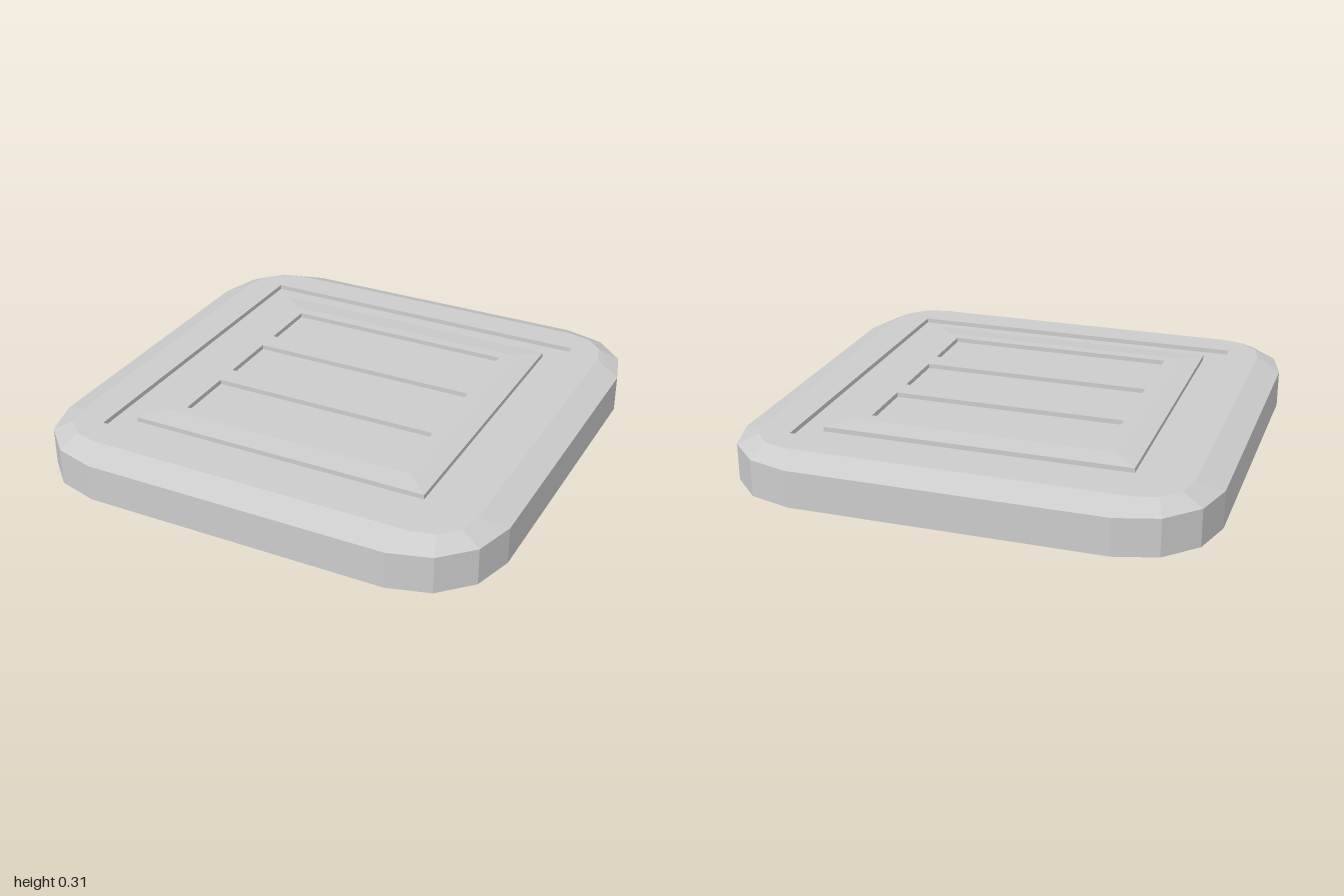
import * as THREE from 'three';

const material = new THREE.MeshStandardMaterial({ color: 0xcccccc, flatShading: true });

// Counter-clockwise rectangle loop in plan
const rect = (hx, hy, cy = 0) => [[hx, cy - hy], [hx, cy + hy], [-hx, cy + hy], [-hx, cy - hy]];

// Square with rounded, three-facet corners; corner points are given for one quadrant
function roundedSquare(corner) {
  const loop = [];
  for (let k = 0; k < 4; k++) {
    for (let [x, y] of corner) {
      for (let r = 0; r < k; r++) [x, y] = [-y, x];
      loop.push([x, y]);
    }
  }
  return loop;
}

// Skin joining matching loops at successive heights: sections = [[loop, height], ...]
function loft(sections) {
  const pos = [];
  const at = ([x, y], h) => [x, h, -y];
  for (let s = 0; s + 1 < sections.length; s++) {
    const [lo, h0] = sections[s], [hi, h1] = sections[s + 1];
    for (let i = 0; i < lo.length; i++) {
      const j = (i + 1) % lo.length;
      const a = at(lo[i], h0), b = at(lo[j], h0), c = at(hi[j], h1), d = at(hi[i], h1);
      pos.push(...a, ...b, ...c, ...a, ...c, ...d);
    }
  }
  const g = new THREE.BufferGeometry();
  g.setAttribute('position', new THREE.Float32BufferAttribute(pos, 3));
  g.computeVertexNormals();
  return g;
}

// Flat horizontal face, optionally with holes, facing up or down
function flat(loop, height, holes = [], up = true) {
  const points = (l) => l.map(([x, y]) => new THREE.Vector2(x, y));
  const shape = new THREE.Shape(points(loop));
  holes.forEach((h) => shape.holes.push(new THREE.Path(points(h))));
  return new THREE.ShapeGeometry(shape).rotateX(up ? -Math.PI / 2 : Math.PI / 2).translate(0, height, 0);
}

export function createModel() {
  const model = new THREE.Group();
  const add = (parent, name, geometry) => {
    const mesh = new THREE.Mesh(geometry, material);
    mesh.name = name;
    parent.add(mesh);
    return mesh;
  };

  const base = 0.1, shoulder = 0.257, deck = 0.3, crown = 0.31, depth = 0.02;
  const outer = roundedSquare([[1, 0.65], [0.95, 0.825], [0.825, 0.95], [0.65, 1]]);
  const inner = roundedSquare([[0.89, 0.7], [0.867, 0.795], [0.795, 0.867], [0.7, 0.89]]);

  // Slab: vertical walls, sloping rim, underside and deck
  const slab = new THREE.Group();
  slab.name = 'slab';
  model.add(slab);
  add(slab, 'sideWalls', loft([[outer, base], [outer, shoulder], [inner, deck]]));
  add(slab, 'underside', flat(outer, base, [], false));
  add(slab, 'deck', flat(inner, deck, [rect(0.75, 0.75)]));

  // Square groove, then the slightly raised centre panel
  const grooveOut = rect(0.75, 0.75), grooveIn = rect(0.65, 0.65), panel = rect(0.55, 0.55);
  add(model, 'groove', loft([
    [grooveOut, deck], [grooveOut, deck - depth], [grooveIn, deck - depth], [grooveIn, deck],
  ]));
  add(model, 'panelBevel', loft([[grooveIn, deck], [panel, crown]]));

  // Three recessed slots across the panel
  const slots = [-1, 0, 1].map((k) => rect(0.5, 0.1335, k * 0.3665));
  add(model, 'panelTop', flat(panel, crown, slots));
  slots.forEach((slot) => {
    const group = new THREE.Group();
    group.name = 'slot';
    model.add(group);
    add(group, 'slotWalls', loft([[slot, crown], [slot, crown - depth]]));
    add(group, 'slotFloor', flat(slot, crown - depth));
  });

  // Four pyramid feet pointing down
  const foot = new THREE.ConeGeometry(0.13 * Math.SQRT2, base, 4, 1).rotateY(Math.PI / 4).rotateX(Math.PI);
  for (const x of [-0.5, 0.5]) {
    for (const z of [-0.5, 0.5]) add(model, 'foot', foot).position.set(x, base / 2, z);
  }
  return model;
}
